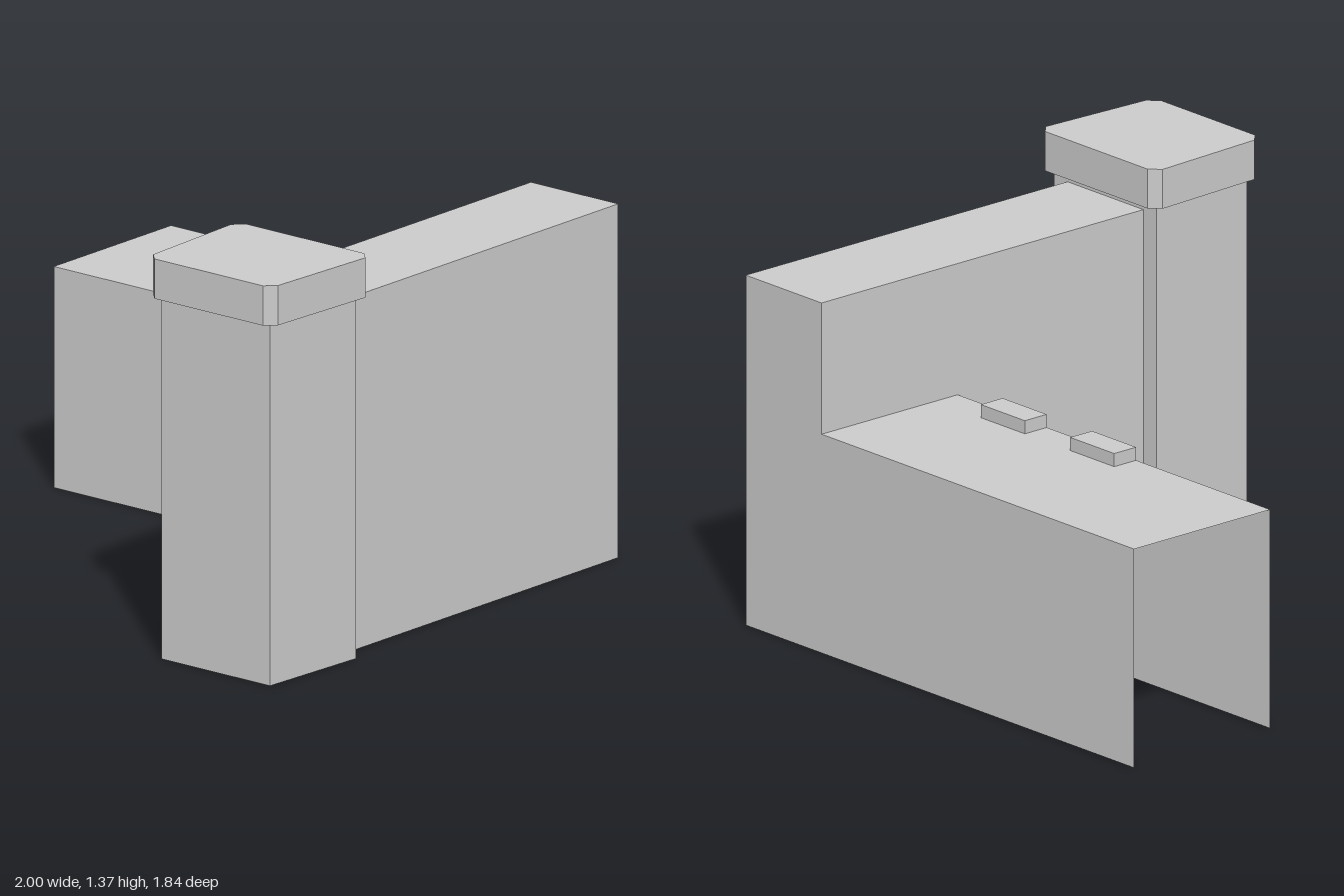
import * as THREE from 'three';

const material = new THREE.MeshStandardMaterial({ color: 0xcccccc, flatShading: true, side: THREE.DoubleSide });

function outline(points) {
  return new THREE.Shape(points.map(([u, v]) => new THREE.Vector2(u, v)));
}

// Flat sheet from a 2D outline; place() maps outline coordinates into space.
function sheet(name, points, place, flip = false) {
  const geometry = new THREE.ShapeGeometry(outline(points));
  const pos = geometry.attributes.position;
  for (let i = 0; i < pos.count; i++) pos.setXYZ(i, ...place(pos.getX(i), pos.getY(i)));
  if (flip) geometry.index.array.reverse();
  geometry.computeVertexNormals();
  const mesh = new THREE.Mesh(geometry, material);
  mesh.name = name;
  return mesh;
}

const rect = (u0, v0, u1, v1) => [[u0, v0], [u1, v0], [u1, v1], [u0, v1]];
const onX = (x) => (z, y) => [x, y, z];
const onY = (y) => (x, z) => [x, y, z];
const onZ = (z) => (x, y) => [x, y, z];

export function createModel() {
  const model = new THREE.Group();
  model.name = 'cornerWall';

  const left = -1, inner = 0.525, outer = 0.895;
  const back = -0.92, lowFront = -0.33, pillarBack = 0.475, pillarFront = 0.885;
  const lowTop = 0.75, highTop = 1.2, pillarTop = 1.23, capTop = 1.365;

  // Hollow walls: open underneath, at the free end and into the pillar
  const walls = new THREE.Group();
  walls.name = 'walls';
  walls.add(
    sheet('backFace', [[left, 0], [outer, 0], [outer, highTop], [inner, highTop], [inner, lowTop], [left, lowTop]], onZ(back), true),
    sheet('lowWallFront', rect(left, 0, inner, lowTop), onZ(lowFront)),
    sheet('lowWallTop', rect(left, back, inner, lowFront), onY(lowTop), true),
    sheet('highWallTop', rect(inner, back, outer, pillarBack), onY(highTop), true),
    sheet('highWallOuterFace', rect(back, 0, pillarBack, highTop), onX(outer), true),
    sheet('highWallInnerFace', [[lowFront, 0], [pillarBack, 0], [pillarBack, highTop], [back, highTop], [back, lowTop], [lowFront, lowTop]], onX(inner)),
  );
  model.add(walls);

  // Raised blocks along the front edge of the low wall
  for (const x of [-0.238, 0.198]) {
    const block = new THREE.Mesh(new THREE.BoxGeometry(0.215, 0.045, 0.095), material);
    block.name = 'raisedBlock';
    block.position.set(x, lowTop + 0.0225, lowFront - 0.0475);
    model.add(block);
  }

  // Pillar shell, slightly narrower at the front, with a notch where the wall enters
  const centre = 0.71, backHalf = 0.25, frontHalf = 0.23;
  const pillar = new THREE.Group();
  pillar.name = 'pillar';
  pillar.add(
    sheet('pillarFront', rect(centre - frontHalf, 0, centre + frontHalf, pillarTop), onZ(pillarFront)),
    sheet('pillarBack', [
      [centre - backHalf, 0], [inner, 0], [inner, highTop], [outer, highTop], [outer, 0],
      [centre + backHalf, 0], [centre + backHalf, pillarTop], [centre - backHalf, pillarTop],
    ], onZ(pillarBack), true),
  );
  for (const side of [-1, 1]) {
    const slanted = (t, y) => [
      centre + side * THREE.MathUtils.lerp(backHalf, frontHalf, t), y,
      THREE.MathUtils.lerp(pillarBack, pillarFront, t),
    ];
    pillar.add(sheet('pillarSide', rect(0, 0, 1, pillarTop), slanted, side > 0));
  }
  model.add(pillar);

  // Overhanging cap with chamfered corners: closed top, rim and underside ring
  const half = [[0.25, 0.435], [0.285, 0.47], [0.265, 0.885], [0.23, 0.92]];
  const capOutline = [
    ...half.map(([w, z]) => [centre + w, z]),
    ...half.slice().reverse().map(([w, z]) => [centre - w, z]),
  ];
  const cap = new THREE.Group();
  cap.name = 'cap';
  cap.add(sheet('capTop', capOutline, onY(capTop), true));
  capOutline.forEach(([x0, z0], i) => {
    const [x1, z1] = capOutline[(i + 1) % capOutline.length];
    const along = (t, y) => [THREE.MathUtils.lerp(x0, x1, t), y, THREE.MathUtils.lerp(z0, z1, t)];
    cap.add(sheet('capRim', rect(0, pillarTop, 1, capTop), along, true));
  });
  const ring = outline(capOutline);
  ring.holes.push(new THREE.Path([
    [centre - backHalf, pillarBack], [centre - frontHalf, pillarFront],
    [centre + frontHalf, pillarFront], [centre + backHalf, pillarBack],
  ].map(([x, z]) => new THREE.Vector2(x, z))));
  const underside = new THREE.Mesh(new THREE.ShapeGeometry(ring).rotateX(Math.PI / 2), material);
  underside.name = 'capUnderside';
  underside.position.y = pillarTop;
  cap.add(underside);
  model.add(cap);

  return model;
}
